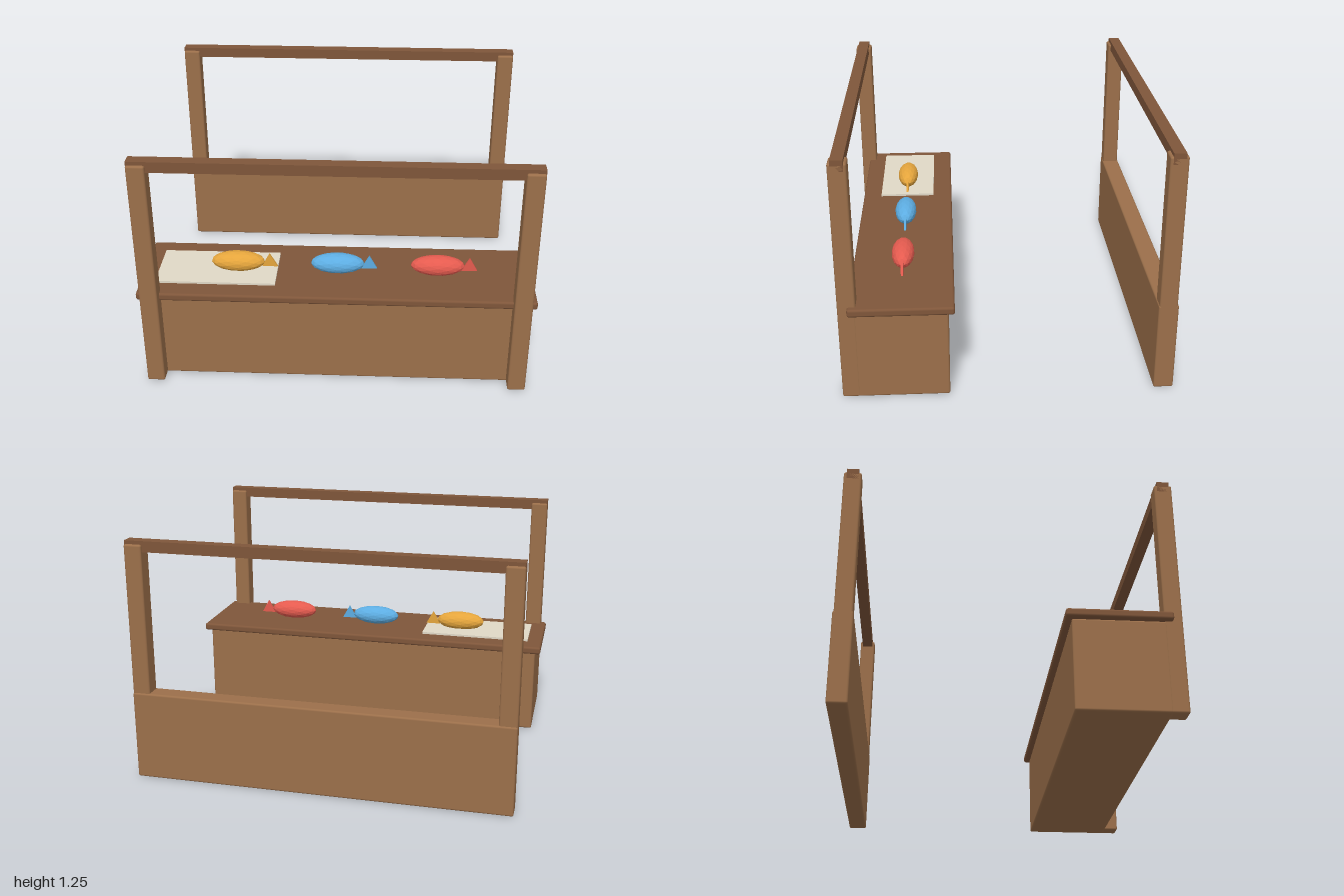
import * as THREE from 'three';
import { RoundedBoxGeometry } from 'three/addons/geometries/RoundedBoxGeometry.js';

const paint = (color, flatShading = false) => new THREE.MeshStandardMaterial({ color, flatShading });
const wood = paint(0x9b6f4a);
const darkWood = paint(0x7f563a);
const paper = paint(0xe0d8c6);

export function createModel() {
  const model = new THREE.Group();
  model.name = 'marketStall';

  // Box given by its lower and upper corners; radius rounds the edges
  function block(name, material, min, max, radius = 0) {
    const size = max.map((v, i) => v - min[i]);
    const geometry = radius
      ? new RoundedBoxGeometry(...size, 2, radius)
      : new THREE.BoxGeometry(...size);
    const mesh = new THREE.Mesh(geometry, material);
    mesh.name = name;
    mesh.position.set(...max.map((v, i) => (v + min[i]) / 2));
    model.add(mesh);
  }

  // Counter and back wall
  block('counterBody', wood, [-0.97, 0, 0.29], [0.97, 0.463, 0.74], 0.01);
  block('counterTop', darkWood, [-1, 0.462, 0.26], [1, 0.503, 0.77], 0.012);
  block('backWall', wood, [-0.97, 0, -0.816], [0.97, 0.463, -0.718], 0.01);

  // Front and back frames: two posts and a beam each
  for (const [side, z] of [['front', 0.772], ['back', -0.766]]) {
    for (const x of [-0.925, 0.925]) {
      block(side + 'Post', wood, [x - 0.045, 0, z - 0.044], [x + 0.045, 1.232, z + 0.044], 0.01);
    }
    block(side + 'Beam', darkWood, [-0.97, 1.195, z - 0.03], [0.97, 1.25, z + 0.03]);
  }

  // Paper sheet on the counter
  block('paperSheet', paper, [-0.92, 0.5, 0.365], [-0.31, 0.514, 0.668]);

  // Faceted fish with flat triangular tails
  const bodyGeometry = new THREE.IcosahedronGeometry(1, 2).scale(0.138, 0.053, 0.058);
  const tailShape = new THREE.Shape([
    new THREE.Vector2(-0.04, -0.026),
    new THREE.Vector2(0.04, -0.026),
    new THREE.Vector2(0, 0.046),
  ]);
  const tailGeometry = new THREE.ExtrudeGeometry(tailShape, { depth: 0.012, bevelEnabled: false });
  tailGeometry.translate(0.163, 0, -0.006);

  [['yellowFish', 0xe5a53c], ['blueFish', 0x5dade2], ['redFish', 0xe55b4f]].forEach(([name, color], i) => {
    const fish = new THREE.Group();
    fish.name = name;
    const skin = paint(color, true);
    const body = new THREE.Mesh(bodyGeometry, skin);
    body.name = 'fishBody';
    const tail = new THREE.Mesh(tailGeometry, skin);
    tail.name = 'fishTail';
    fish.add(body, tail);
    fish.position.set((i - 1) * 0.513, 0.553, 0.516);
    model.add(fish);
  });

  return model;
}
